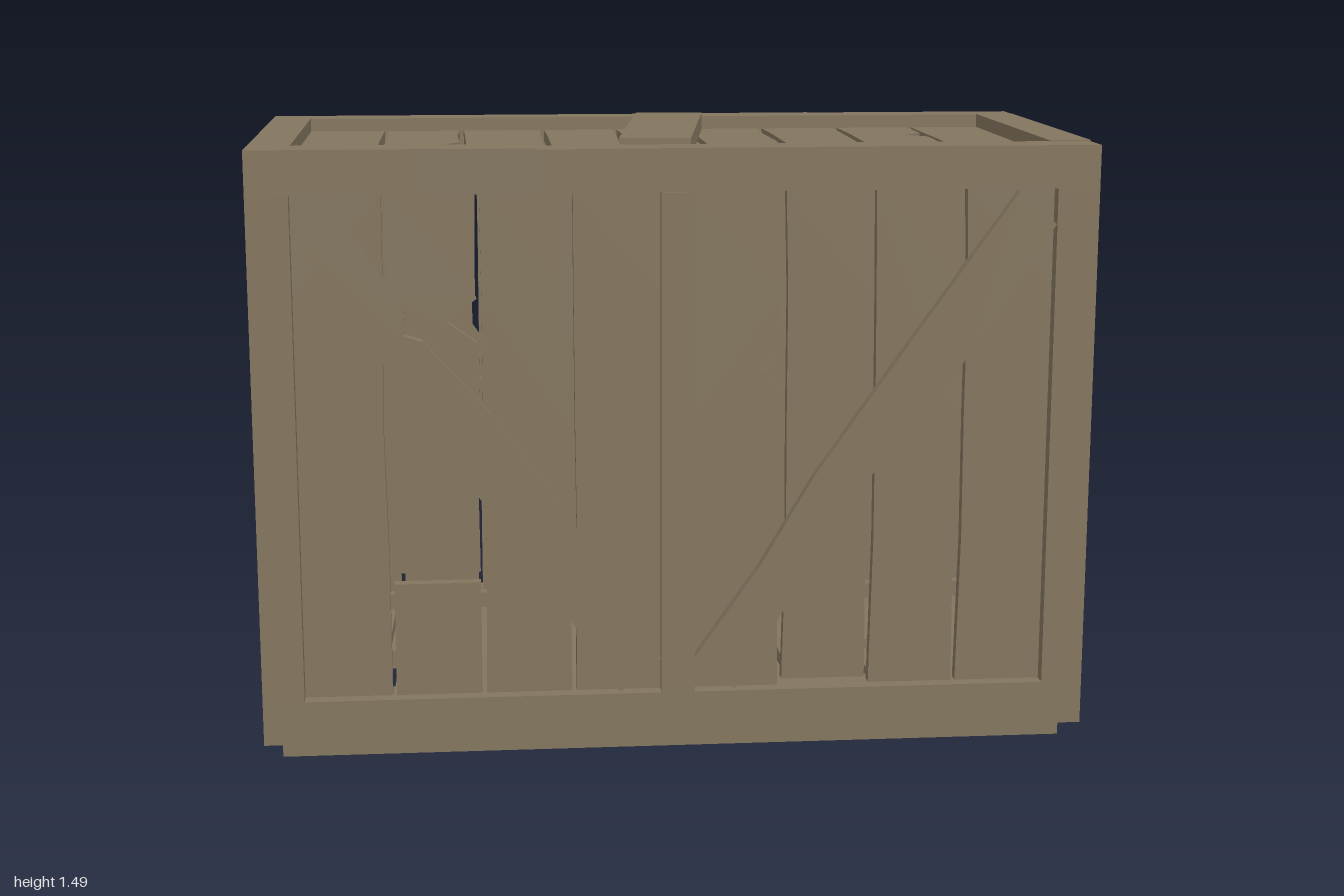
import * as THREE from 'three';

const wood = new THREE.MeshStandardMaterial({ color: 0x84765f });
wood.name = 'weathered wood';

// Small seeded generator for the uneven plank edges
let seed = 11;
const jitter = (a) => {
  seed = (seed * 16807) % 2147483647;
  return (seed / 2147483647 - 0.5) * 2 * a;
};

function mesh(parent, name, geometry) {
  const m = new THREE.Mesh(geometry, wood);
  m.name = name;
  parent.add(m);
  return m;
}

function beam(parent, name, w, h, d, x, y, z) {
  const m = mesh(parent, name, new THREE.BoxGeometry(w, h, d));
  m.position.set(x, y, z);
  return m;
}

// Flat board cut from an outline, lying between local depths z0 and z1
function board(parent, name, points, z0, z1) {
  const shape = new THREE.Shape(points.map(([x, y]) => new THREE.Vector2(x, y)));
  const g = new THREE.ExtrudeGeometry(shape, { depth: z1 - z0, bevelEnabled: false });
  g.translate(0, 0, z0);
  return mesh(parent, name, g);
}

// Side of the crate: local x right, y up, z outward
function side(parent, name, pos, rot) {
  const g = new THREE.Group();
  g.name = name;
  g.position.set(...pos);
  g.rotation.set(...rot);
  parent.add(g);
  return g;
}

// Row of worn slats between the given edges; damage is keyed by slat index.
// notch: [y, depth] bites the right edge; cut: [lower end, upper start, slant]
function slats(parent, edges, y0, y1, damage = {}) {
  const last = edges.length - 2;
  for (let i = 0; i <= last; i++) {
    const { notch, cut, bottom } = damage[i] || {};
    const a = i === 0 ? edges[0] - 0.015 : edges[i] + 0.005;
    const b = i === last ? edges[i + 1] + 0.015 : edges[i + 1] - 0.005;
    const h = y1 - y0;
    const wear = [0.3, 0.55, 0.8].map((t) => [y0 + h * t, Math.abs(jitter(0.008)), Math.abs(jitter(0.008))]);
    const build = (lo, hi, slantLo, slantHi) => {
      const inside = wear.filter(([y]) => y > lo + 0.06 && y < hi - 0.06);
      let right = inside.map(([y, , r]) => [b - r, y]);
      if (notch && notch[0] > lo && notch[0] < hi) {
        const [y, d] = notch;
        right = right.filter((p) => Math.abs(p[1] - y) > 0.06);
        right.push([b, y - 0.05], [b - d, y], [b - d * 0.6, y + 0.025], [b, y + 0.055]);
        right.sort((p, q) => p[1] - q[1]);
      }
      const left = inside.map(([y, l]) => [a + l, y]).reverse();
      board(parent, 'slat', [[a, lo], [b, lo + slantLo], ...right, [b, hi + slantHi], [a, hi], ...left], -0.065, -0.035);
    };
    const base = bottom ?? y0 - 0.01;
    if (cut) {
      build(base, cut[0], 0, cut[2]);
      build(cut[1], y1 + 0.01, cut[2], 0);
    } else build(base, y1 + 0.01, 0, 0);
  }
}

const B = 0.157, T = 1.375; // opening heights
const leftEdges = [-0.9, -0.685, -0.468, -0.25, -0.04];
const rightEdges = [0.04, 0.253, 0.468, 0.685, 0.9];
const endEdges = [-0.4, -0.215, -0.005, 0.22, 0.4].map((v) => -v).reverse();

function braces(parent) {
  board(parent, 'leftBrace', [
    [-0.9, 1.29], [-0.74, 1.05], [-0.54, 0.74], [-0.36, 0.5], [-0.14, 0.16], [-0.04, 0.24],
    [-0.28, 0.63], [-0.44, 0.85], [-0.6, 1.03], [-0.645, 1.045], [-0.64, 1.1], [-0.81, 1.37],
  ], -0.036, -0.004);
  board(parent, 'rightBrace', [
    [0.04, 0.24], [0.14, 0.16], [0.44, 0.66], [0.62, 0.85], [0.72, 1.02], [0.9, 1.29],
    [0.81, 1.37], [0.54, 0.99], [0.33, 0.69], [0.2, 0.47],
  ], -0.036, -0.004);
}

export function createModel() {
  seed = 11;
  const crate = new THREE.Group();
  crate.name = 'crate';

  // Corner posts, lower rails, short upper rails and runners
  for (const s of [-1, 1]) {
    for (const x of [-0.95, 0.95]) beam(crate, 'cornerPost', 0.1, T - B, 0.1, x, (T + B) / 2, 0.45 * s);
    beam(crate, 'lowerRail', 2, 0.107, 0.1, 0, 0.1035, 0.45 * s);
    beam(crate, 'lowerEndRail', 0.1, 0.107, 0.8, 0.95 * s, 0.1035, 0);
    beam(crate, 'upperEndRail', 0.1, 0.105, 0.8, 0.95 * s, 1.4275, 0);
    beam(crate, 'runner', 1.92, 0.05, 0.22, 0, 0.025, 0.333 * s);
    beam(crate, 'middlePost', 0.08, T - B, 0.09, 0, (T + B) / 2, 0.455 * s);
  }

  const front = side(crate, 'frontSide', [0, 0, 0.5], [0, 0, 0]);
  slats(front, leftEdges, B, T, { 1: { notch: [1.07, 0.07], cut: [0.435, 0.462, 0] } });
  slats(front, rightEdges, B, T, { 0: { notch: [0.95, 0.05] }, 1: { bottom: 0.172 } });
  braces(front);

  const back = side(crate, 'backSide', [0, 0, -0.5], [0, Math.PI, 0]);
  slats(back, leftEdges, B, T, { 1: { notch: [0.95, 0.05] } });
  slats(back, rightEdges, B, T, { 1: { cut: [0.77, 0.8, -0.01] } });
  braces(back);

  const right = side(crate, 'rightEnd', [1, 0, 0], [0, Math.PI / 2, 0]);
  slats(right, endEdges, B, T, { 1: { cut: [1.1, 1.112, 0] } });

  const left = side(crate, 'leftEnd', [-1, 0, 0], [0, -Math.PI / 2, 0]);
  slats(left, endEdges.map((v) => -v).reverse(), B, T, { 3: { cut: [0.46, 0.468, 0.08] } });

  // Lid: slats, warped long rails and one loose plank
  const top = side(crate, 'topSide', [0, 1.48, 0], [-Math.PI / 2, 0, 0]);
  slats(top, [-0.9, -0.7, -0.5, -0.285, -0.09, 0.105, 0.305, 0.51, 0.715, 0.9], -0.4, 0.4, {
    1: { notch: [0, 0.035] }, 7: { notch: [0.17, 0.05] },
  });
  board(top, 'frontUpperRailLeft', [
    [-1, -0.5], [-0.6, -0.5], [-0.33, -0.51], [-0.33, -0.405], [-0.6, -0.39], [-1, -0.39],
  ], -0.105, 0);
  board(top, 'frontUpperRailRight', [
    [-0.33, -0.504], [0.1, -0.49], [0.5, -0.487], [1, -0.5], [1, -0.39], [0.7, -0.39], [0.5, -0.372], [0.1, -0.39], [-0.33, -0.4],
  ], -0.105, -0.003);
  board(top, 'backUpperRail', [
    [-1, 0.4], [1, 0.4], [1, 0.5], [0.45, 0.503], [0.45, 0.512], [0.14, 0.508], [0, 0.5], [-1, 0.5],
  ], -0.105, -0.001);
  board(top, 'loosePlank', [[-0.13, -0.365], [0.04, -0.385], [0.145, 0.385], [-0.03, 0.405]], -0.035, 0.01);

  // Floor slats with one hanging piece
  const floor = side(crate, 'bottomSide', [0, 0.05, 0], [Math.PI / 2, 0, 0]);
  slats(floor, [-0.9, -0.7, -0.5, -0.3, -0.1, 0.1, 0.3, 0.5, 0.7, 0.9], -0.4, 0.4, {
    4: { notch: [0.05, 0.06] }, 7: { cut: [-0.02, 0.06, 0.03] },
  });
  const hanging = beam(crate, 'hangingSlat', 0.18, 0.02, 0.17, 0.6, 0.055, 0.14);
  hanging.rotation.x = 0.1;

  return crate;
}
